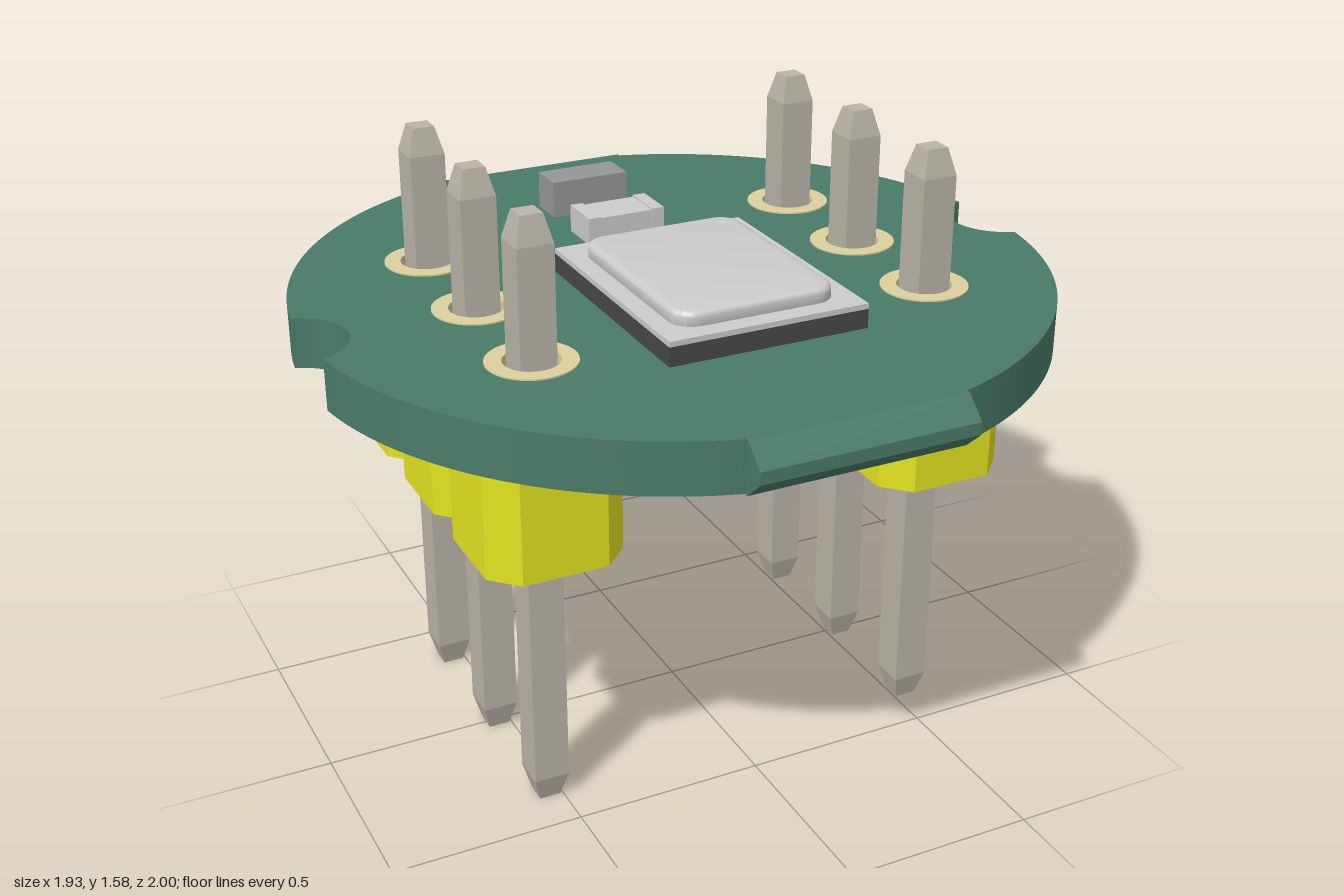
import * as THREE from 'three';
import { toCreasedNormals } from 'three/addons/utils/BufferGeometryUtils.js';

const mat = (color, flatShading = false) => new THREE.MeshStandardMaterial({ color, flatShading });
const MATS = {
  board: mat(0x4a7b69), pad: mat(0xdcd09c), pin: mat(0xbab4a8, true), plastic: mat(0xe4e420),
  base: mat(0x484848), lid: mat(0xbcbcbc), dark: mat(0x969696), light: mat(0xbebebe),
};
const PIN_X = 0.535, PITCH = 0.356, ROWS = [-PITCH, 0, PITCH];
const BOARD_Y0 = 1.08, BOARD_Y1 = 1.212;

export function createModel() {
  const model = new THREE.Group();
  model.name = 'sensorBoard';

  function add(name, geometry, material, x = 0, y = 0, z = 0, parent = model) {
    const mesh = new THREE.Mesh(geometry, material);
    mesh.name = name;
    mesh.position.set(x, y, z);
    parent.add(mesh);
    return mesh;
  }
  // Flat outline raised from y0 to y1
  function slab(shape, y0, y1, curveSegments = 24) {
    const g = new THREE.ExtrudeGeometry(shape, { depth: y1 - y0, bevelEnabled: false, curveSegments });
    g.rotateX(-Math.PI / 2).translate(0, y0, 0);
    return toCreasedNormals(g, 0.4);
  }
  const polygon = pts => new THREE.Shape(pts.map(p => new THREE.Vector2(...p)));
  const circle = (x, y, r) => new THREE.Path().absarc(x, y, r, 0, Math.PI * 2, true);
  const box = (name, w, h, d, material, x, y0, z, parent) =>
    add(name, new THREE.BoxGeometry(w, h, d), material, x, y0 + h / 2, z, parent);

  // Round board with two side notches, flat front and back, and pin holes
  const R = 0.975, notchX = 1.005, notchR = 0.14, tabHalf = 0.28;
  const ex = (R * R + notchX * notchX - notchR * notchR) / (2 * notchX);
  const ey = Math.sqrt(R * R - ex * ex);
  const a0 = Math.atan2(ey, ex), a1 = Math.acos(tabHalf / R), n = Math.atan2(ey, notchX - ex);
  const P = Math.PI;
  const outline = new THREE.Shape();
  outline.absarc(0, 0, R, a0, a1, false);
  outline.absarc(0, 0, R, P - a1, P - a0, false);
  outline.absarc(-notchX, 0, notchR, n, -n, true);
  outline.absarc(0, 0, R, P + a0, P + a1, false);
  outline.absarc(0, 0, R, 2 * P - a1, 2 * P - a0, false);
  outline.absarc(notchX, 0, notchR, P + n, P - n, true);
  for (const x of [-PIN_X, PIN_X])
    for (const z of ROWS) outline.holes.push(circle(x, z, 0.09));
  add('board', slab(outline, BOARD_Y0, BOARD_Y1, 28), MATS.board);

  // Bevelled break-off tabs at front and back
  const zIn = Math.sqrt(R * R - tabHalf * tabHalf);
  const tabGeo = new THREE.ExtrudeGeometry(
    polygon([[zIn, BOARD_Y0], [0.945, BOARD_Y0], [1, 1.13], [1, 1.162], [0.945, BOARD_Y1], [zIn, BOARD_Y1]]),
    { depth: tabHalf * 2, bevelEnabled: false });
  tabGeo.translate(0, 0, -tabHalf).rotateY(-P / 2);
  add('frontTab', tabGeo, MATS.board);
  add('backTab', tabGeo, MATS.board).rotation.y = P;

  // Pin header: scalloped block, side walls leaving a channel on top, square pins
  const half = 0.177, neck = 0.11, flat = 0.11;
  const side = [[neck, -1.5 * PITCH]];
  for (const z of ROWS) side.push([half, z - flat], [half, z + flat], [neck, z + PITCH / 2]);
  const blockGeo = slab(polygon([...side, ...side.map(([x, z]) => [-x, z]).reverse()]), 0.73, 1.0);
  const wallGeo = slab(polygon([[neck, -PITCH / 2], [half, -flat], [half, flat], [neck, PITCH / 2]]), 1.0, BOARD_Y0);
  const s = Math.SQRT2;
  const pinGeo = new THREE.LatheGeometry(
    [[0, 0], [0.028 * s, 0], [0.046 * s, 0.068], [0.046 * s, 1.51], [0.028 * s, 1.58], [0, 1.58]]
      .map(p => new THREE.Vector2(...p)), 4);
  pinGeo.rotateY(P / 4);
  const ring = new THREE.Shape().absarc(0, 0, 0.112, 0, P * 2, false);
  ring.holes.push(circle(0, 0, 0.07));
  const padGeo = slab(ring, BOARD_Y0 - 0.004, BOARD_Y1 + 0.004);

  for (const [name, x] of [['leftHeader', PIN_X], ['rightHeader', -PIN_X]]) {
    const header = new THREE.Group();
    header.name = name;
    header.position.x = x;
    model.add(header);
    add('headerBlock', blockGeo, MATS.plastic, 0, 0, 0, header);
    for (const z of ROWS) {
      add('outerWall', wallGeo, MATS.plastic, 0, 0, z, header);
      add('innerWall', wallGeo, MATS.plastic, 0, 0, z, header).rotation.y = P;
      add('pin', pinGeo, MATS.pin, 0, 0, z, header);
      add('platedPad', padGeo, MATS.pad, 0, 0, z, header);
    }
  }

  // Sensor package: dark base, metal flange and raised rounded cap
  const sensor = new THREE.Group();
  sensor.name = 'sensor';
  sensor.position.z = 0.195;
  model.add(sensor);
  box('sensorBase', 0.53, 0.05, 0.67, MATS.base, 0, BOARD_Y1, 0, sensor);
  box('lidFlange', 0.53, 0.014, 0.67, MATS.lid, 0, BOARD_Y1 + 0.05, 0, sensor);
  const roundRect = (w, h, r) => {
    const q = new THREE.Shape();
    q.absarc(w - r, h - r, r, 0, P / 2, false);
    q.absarc(r - w, h - r, r, P / 2, P, false);
    q.absarc(r - w, r - h, r, P, 1.5 * P, false);
    q.absarc(w - r, r - h, r, 1.5 * P, 2 * P, false);
    return q;
  };
  const capGeo = new THREE.ExtrudeGeometry(roundRect(0.215, 0.284, 0.06), {
    depth: 0.025, bevelThickness: 0.014, bevelSize: 0.014, bevelOffset: -0.014, bevelSegments: 4, curveSegments: 8,
  });
  capGeo.rotateX(-P / 2);
  add('lidCap', toCreasedNormals(capGeo, 0.6), MATS.lid, 0, 1.273, 0, sensor);

  // Small surface-mounted parts behind the sensor
  box('rearChip', 0.22, 0.1, 0.105, MATS.dark, 0, BOARD_Y1, -0.567);
  box('frontChipBody', 0.16, 0.07, 0.118, MATS.light, 0, BOARD_Y1, -0.337);
  for (const x of [-0.0925, 0.0925]) box('frontChipTerminal', 0.035, 0.074, 0.124, MATS.light, x, BOARD_Y1, -0.337);

  return model;
}
